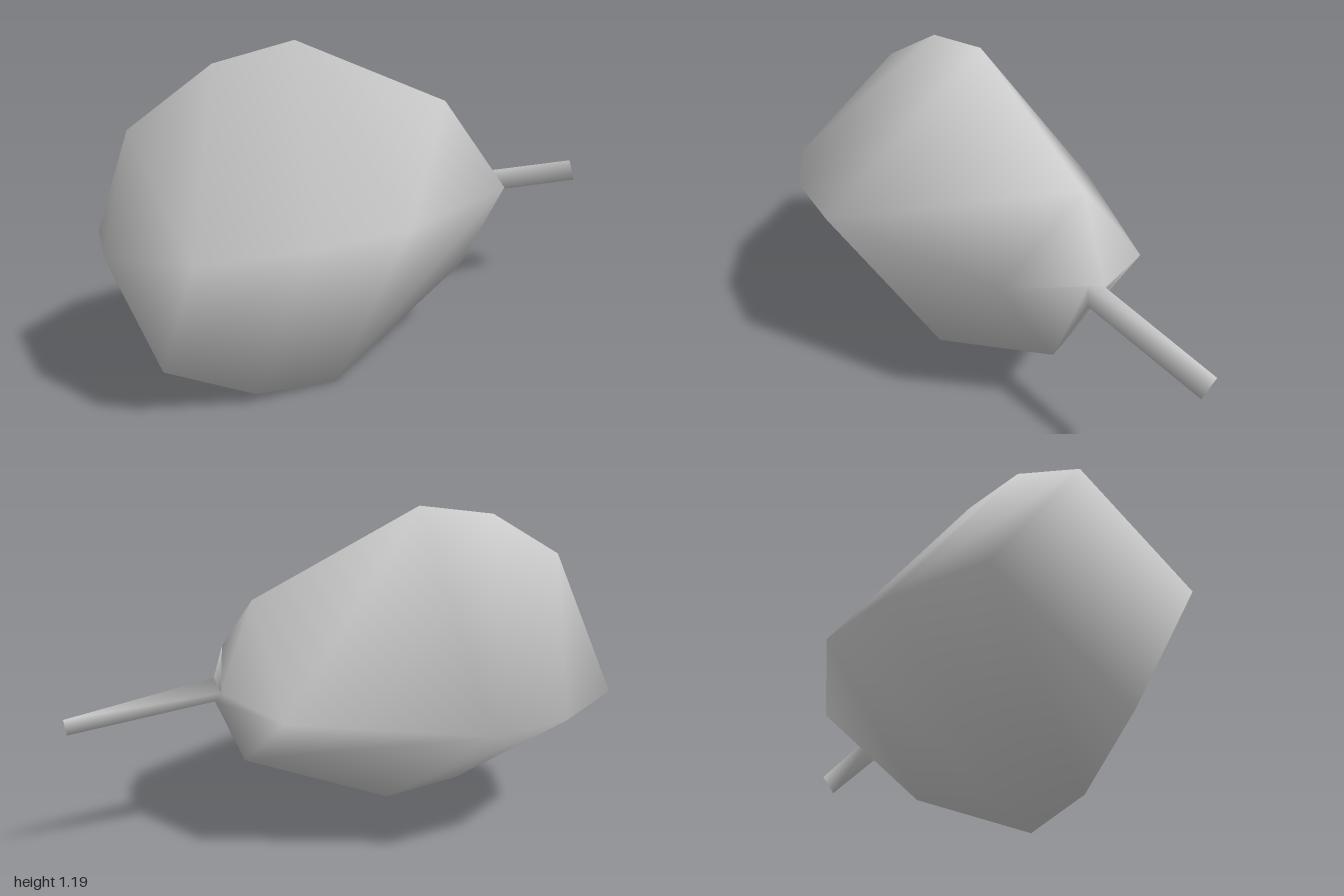
import * as THREE from 'three';
import { mergeVertices } from 'three/addons/utils/BufferGeometryUtils.js';

// Four-cornered, lopsided cross-section as [y, z] offsets: front, top, back, bottom
const SECTION = [[0.13, 0.605], [0.595, -0.06], [-0.095, -0.6], [-0.595, 0.165]];

const ring = (x, scale, cy, cz) =>
  SECTION.map(([y, z]) => [x, cy + y * scale, cz + z * scale]);

export function createModel() {
  const group = new THREE.Group();
  const grey = new THREE.MeshStandardMaterial({ color: 0xcccccc, side: THREE.DoubleSide });
  grey.name = 'grey';

  // Narrow three-cornered neck, running out to a twisted edge
  const neckFront = [0.47, 0.62, 0.055];
  const neckBack = [0.47, 0.585, -0.022];
  const neckLow = [0.47, 0.535, 0.05];
  const endHigh = [1.0, 0.555, 0.003];
  const endLow = [0.985, 0.485, 0.047];

  const rings = [
    ring(-1, 0, 0.59, -0.02),
    ring(-0.88, 0.655, 0.59, -0.015),
    ring(-0.575, 0.93, 0.595, -0.01),
    ring(-0.27, 1, 0.597, 0),
    ring(0.35, 0.52, 0.59, 0.01),
    [neckFront, neckBack, neckBack, neckLow],
    [endLow, endHigh, endHigh, endLow],
  ];

  // Skin the rings, two triangles per side
  const index = [];
  for (let i = 0; i < rings.length - 1; i++) {
    for (let k = 0; k < 4; k++) {
      const a = i * 4 + k, b = i * 4 + (k + 1) % 4;
      const c = a + 4, d = b + 4;
      index.push(a, c, d, a, d, b);
    }
  }
  let skin = new THREE.BufferGeometry();
  skin.setAttribute('position', new THREE.Float32BufferAttribute(rings.flat(2), 3));
  skin.setIndex(index);
  skin = mergeVertices(skin);
  skin.computeVertexNormals();

  // Split into body and stem while keeping the shading continuous at the neck
  const merged = Array.from(skin.index.array);
  const split = 5 * 24;
  const addPart = (name, part) => {
    const geometry = skin.clone();
    geometry.setIndex(part);
    const mesh = new THREE.Mesh(geometry, grey);
    mesh.name = name;
    group.add(mesh);
  };
  addPart('body', merged.slice(0, split));
  addPart('stem', merged.slice(split));

  return group;
}
